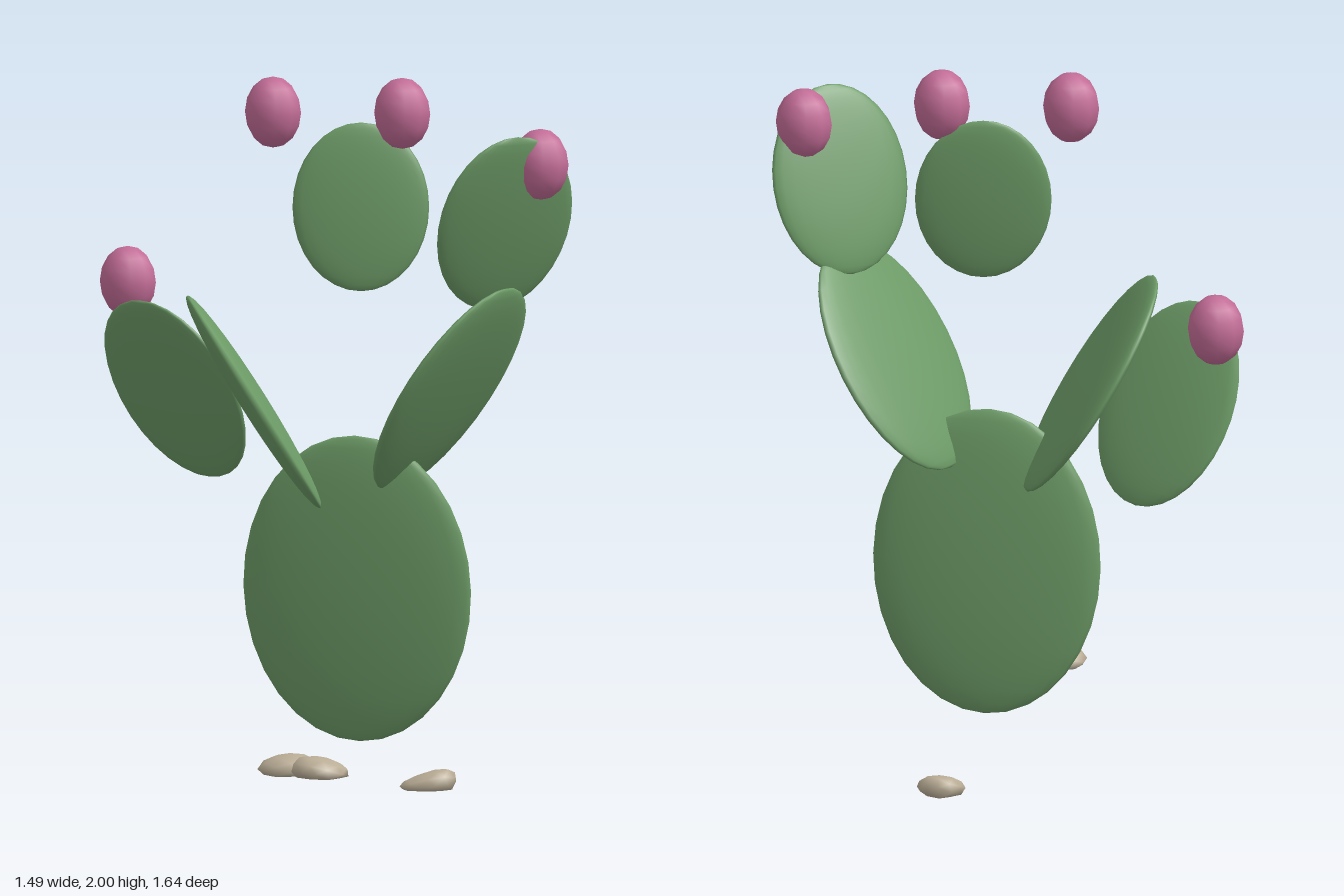
import * as THREE from 'three';
import { mergeVertices } from 'three/addons/utils/BufferGeometryUtils.js';

const mat = (name, color) => {
  const m = new THREE.MeshStandardMaterial({ color });
  m.name = name;
  return m;
};

export function createModel() {
  const green = mat('cactus green', 0x6c9a66);
  const pink = mat('fruit pink', 0xc26c96);
  const stone = mat('stone beige', 0xbaad96);
  const group = new THREE.Group();
  group.name = 'pricklyPear';

  const add = (name, geometry, material, position) => {
    const mesh = new THREE.Mesh(geometry, material);
    mesh.name = name;
    mesh.position.set(...position);
    group.add(mesh);
    return mesh;
  };

  // Flat oval pads: each faces its normal, with the long axis as upright as possible
  const disc = new THREE.SphereGeometry(1, 24, 16);
  const pad = (name, centre, normal, height, width, thickness) => {
    const mesh = add(name, disc, green, centre);
    const n = new THREE.Vector3(...normal).normalize();
    const side = new THREE.Vector3(0, 1, 0).cross(n).normalize();
    const up = n.clone().cross(side);
    mesh.quaternion.setFromRotationMatrix(new THREE.Matrix4().makeBasis(side, up, n));
    mesh.scale.set(width, height, thickness);
  };
  pad('basePad', [0.09, 0.475, 0.012], [0, -0.072, 1], 0.463, 0.345, 0.048);
  pad('rightPad', [-0.21, 1.03, 0.07], [0.806, 0.526, -0.268], 0.374, 0.28, 0.039);
  pad('leftPad', [0.377, 1.085, 0.045], [0.797, -0.529, 0.29], 0.373, 0.28, 0.039);
  pad('rightOuterPad', [-0.485, 1.037, -0.09], [-0.42, -0.47, 0.776], 0.317, 0.246, 0.033);
  pad('topPad', [0.0925, 1.61, -0.025], [0.218, 0.08, 0.97], 0.25, 0.202, 0.028);
  pad('leftOuterPad', [0.558, 1.597, 0.105], [0.597, -0.31, 0.74], 0.283, 0.218, 0.03);

  // Fruits
  const fruit = new THREE.SphereGeometry(0.085, 10, 8);
  fruit.scale(1, 1.25, 1);
  [
    [-0.16, 1.894, 0.035],
    [0.218, 1.894, -0.025],
    [-0.664, 1.328, -0.245],
    [0.66, 1.772, 0.075],
  ].forEach((p, i) => add('fruit' + (i + 1), fruit, pink, p));

  // Pebbles: squashed, flat underneath, with the crown pushed to one side
  const pebble = (rx, height, rz, leanX, leanZ, turn) => {
    let g = new THREE.IcosahedronGeometry(1, 1);
    g.deleteAttribute('normal');
    g.deleteAttribute('uv');
    g = mergeVertices(g, 1e-4);
    g.rotateY(turn);
    const p = g.attributes.position;
    for (let i = 0; i < p.count; i++) {
      const y = (Math.max(p.getY(i), -0.3) + 0.3) / 1.3;
      const x = p.getX(i), z = p.getZ(i);
      const h = y * (1 + 0.5 * (leanX * x + leanZ * z));
      p.setXYZ(i, x * rx + leanX * y * 0.03, h * height, z * rz + leanZ * y * 0.03);
    }
    g.computeVertexNormals();
    return g;
  };
  [
    [[0, 0, 0.545], [0.09, 0.06, 0.085, 0.2, 0], 0.3],
    [[0.107, 0, 0.575], [0.088, 0.06, 0.09, -0.3, 0.2], 1.1],
    [[0.465, 0, 0.74], [0.086, 0.056, 0.075, 0.8, 0], 2],
    [[0.053, 0, -0.74], [0.072, 0.056, 0.08, 0, -0.8], 0.7],
  ].forEach(([at, shape, turn], i) => add('pebble' + (i + 1), pebble(...shape, turn), stone, at));

  return group;
}
